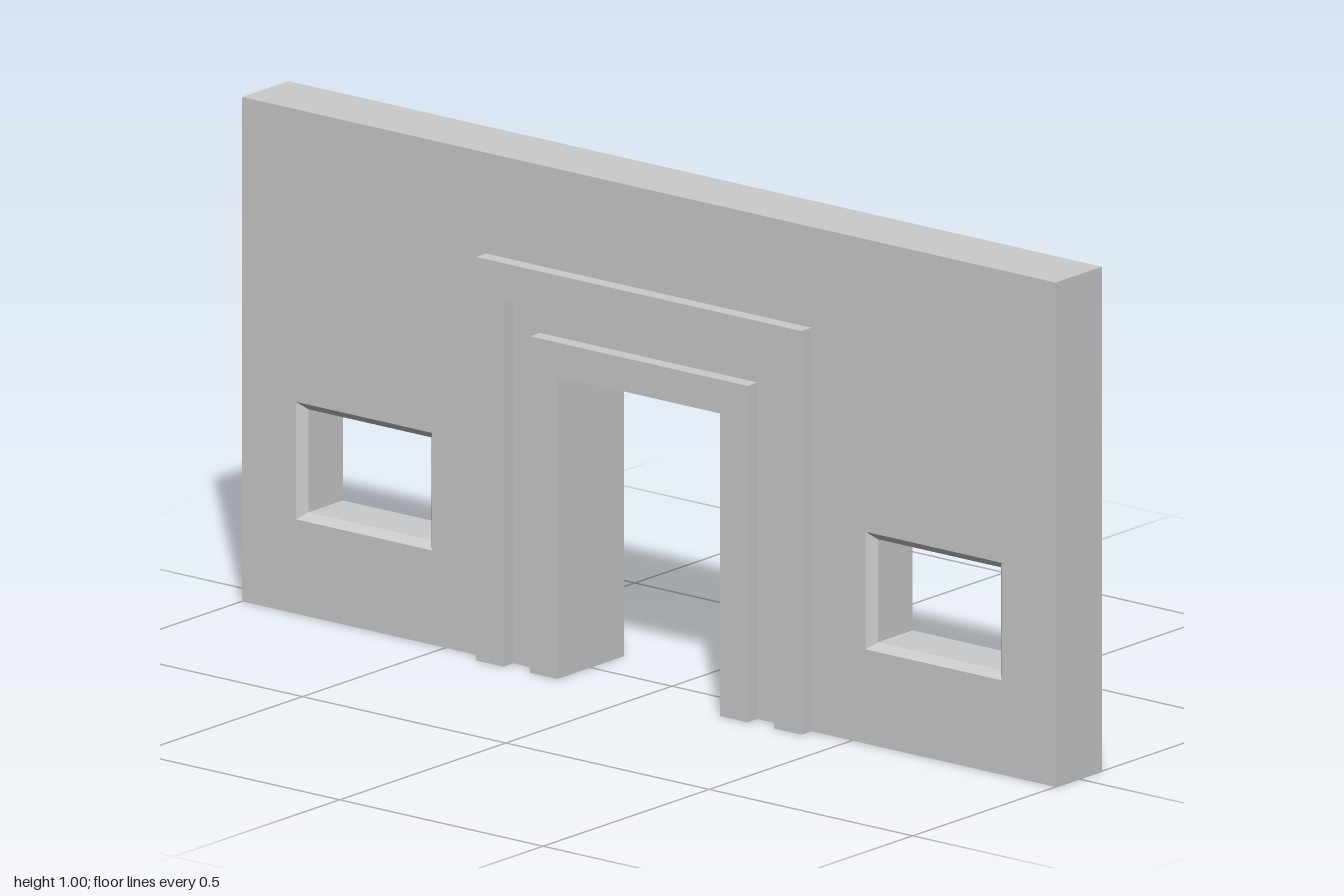
import * as THREE from 'three';

const WALL = 0.07;     // half thickness of the wall
const TRIM = 0.03;     // how far the door trim stands out
const BEVEL = 0.018;   // depth of the window chamfer
const DOOR = 0.2;      // half width of the doorway
const WINDOW = { u: 0.7, v0: 0.187, v1: 0.42, half: 0.167 };
const INNER = { v0: 0.2, v1: 0.404, half: 0.151 };

const material = new THREE.MeshStandardMaterial({ color: 0xcccccc, flatShading: true });

const polygon = (points, Type = THREE.Shape) =>
  new Type(points.map(([x, y]) => new THREE.Vector2(x, y)));

// Upside-down U around the doorway; the lintel is as thick as the jambs
const archShape = (outer, top, inner) => polygon([
  [-outer, 0], [-inner, 0], [-inner, inner + 0.4], [inner, inner + 0.4],
  [inner, 0], [outer, 0], [outer, top], [-outer, top],
]);

function addMesh(group, name, geometry) {
  const mesh = new THREE.Mesh(geometry, material);
  mesh.name = name;
  group.add(mesh);
  return mesh;
}

// Wall with doorway and two windows chamfered on both faces
function wallGeometry() {
  const shape = archShape(1, 1, DOOR);
  const { u, v0, v1, half } = WINDOW;
  for (const s of [-1, 1]) {
    const a = s * u - half, b = s * u + half;
    shape.holes.push(polygon([[a, v0], [a, v1], [b, v1], [b, v0]], THREE.Path));
  }
  const geometry = new THREE.ExtrudeGeometry(shape, { depth: 2 * WALL, steps: 3, bevelEnabled: false });
  geometry.translate(0, 0, -WALL);

  // Slide the two middle layers out to the chamfer depth and narrow the windows there
  const p = geometry.attributes.position;
  for (let i = 0; i < p.count; i++) {
    const x = p.getX(i), y = p.getY(i), z = p.getZ(i);
    if (Math.abs(z) > WALL - 0.001) continue;
    p.setZ(i, Math.sign(z) * (WALL - BEVEL));
    const du = Math.abs(x) - u;
    if (Math.abs(du) < half + 0.01 && y > 0.1 && y < 0.5) {
      p.setX(i, Math.sign(x) * (u + Math.sign(du) * INNER.half));
      p.setY(i, y < 0.3 ? INNER.v0 : INNER.v1);
    }
  }
  geometry.computeVertexNormals();
  return geometry.rotateY(Math.PI / 2);
}

export function createModel() {
  const model = new THREE.Group();
  model.name = 'doorwayWall';
  addMesh(model, 'wall', wallGeometry());

  // Two raised bands with a groove between them, on each face of the wall
  const bands = [['outerDoorTrim', 0.4, 0.333], ['innerDoorTrim', 0.267, DOOR]];
  for (const [name, outer, inner] of bands) {
    const geometry = new THREE.ExtrudeGeometry(archShape(outer, outer + 0.4, inner), {
      depth: TRIM, bevelEnabled: false,
    });
    geometry.translate(0, 0, WALL);
    for (const side of [1, -1]) {
      const mesh = addMesh(model, name + (side > 0 ? 'Left' : 'Right'), geometry);
      mesh.rotation.y = side * Math.PI / 2;
    }
  }
  return model;
}
